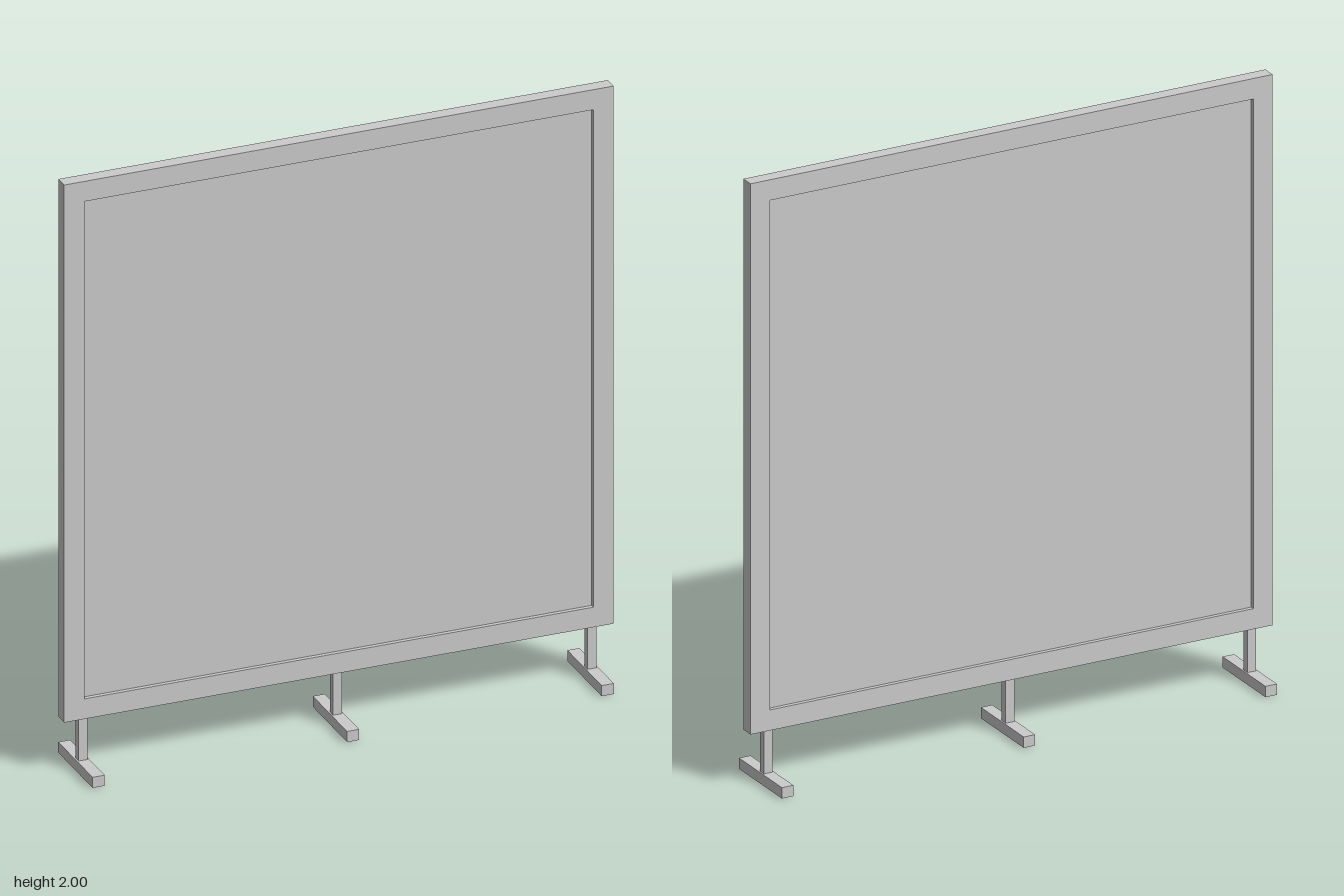
import * as THREE from 'three';

const material = new THREE.MeshStandardMaterial({ color: 0xcccccc, flatShading: true });

function addMesh(parent, name, geometry, x, y, z) {
  const mesh = new THREE.Mesh(geometry, material);
  mesh.name = name;
  mesh.position.set(x, y, z);
  parent.add(mesh);
}

// Rectangle outline from its edges
function rectangle(Type, x, bottom, top) {
  return new Type([[-x, bottom], [x, bottom], [x, top], [-x, top]].map(([a, b]) => new THREE.Vector2(a, b)));
}

export function createModel() {
  const model = new THREE.Group();
  model.name = 'partitionScreen';

  // Square frame with an opening
  const depth = 0.046;
  const outline = rectangle(THREE.Shape, 0.91, 0.18, 2);
  outline.holes.push(rectangle(THREE.Path, 0.843, 0.248, 1.932));
  const frame = new THREE.ExtrudeGeometry(outline, { depth, bevelEnabled: false });
  addMesh(model, 'frame', frame, 0, 0, -depth / 2);

  // Panel recessed on both sides
  addMesh(model, 'panel', new THREE.BoxGeometry(1.686, 1.684, 0.018), 0, 1.09, 0);

  // Three stands: a post on a foot bar
  for (const x of [-0.843, 0, 0.843]) {
    const stand = new THREE.Group();
    stand.name = 'stand';
    stand.position.x = x;
    addMesh(stand, 'post', new THREE.BoxGeometry(0.03, 0.144, 0.026), 0, 0.108, 0);
    addMesh(stand, 'foot', new THREE.BoxGeometry(0.04, 0.036, 0.272), 0, 0.018, 0);
    model.add(stand);
  }
  return model;
}
